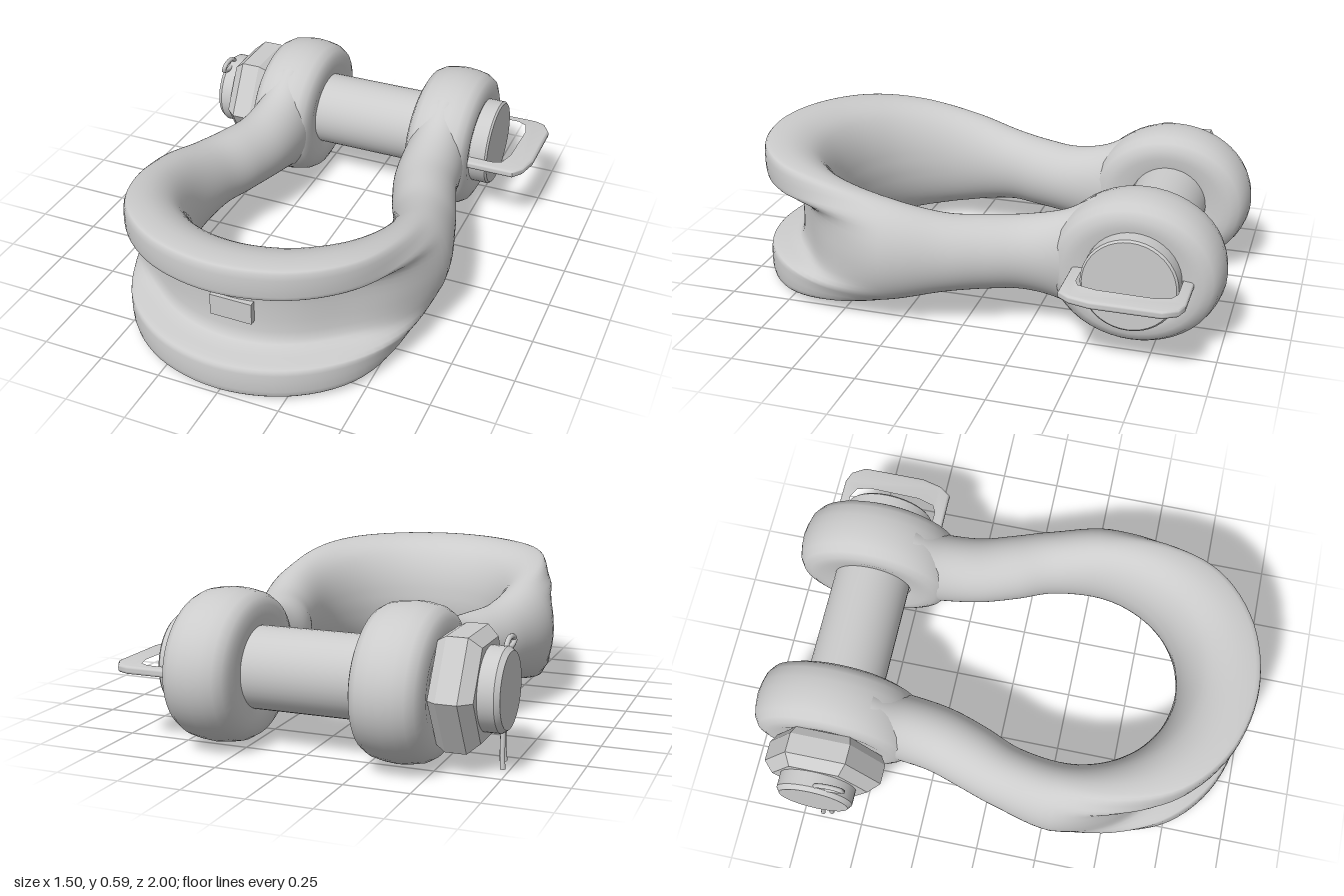
import * as THREE from 'three';
import { toCreasedNormals } from 'three/addons/utils/BufferGeometryUtils.js';

const CX = -0.011, CY = 0.297, PIN_Z = -0.66;
const steel = new THREE.MeshStandardMaterial({ color: 0xcccccc });
const V2 = (p) => new THREE.Vector2(p[0], p[1]);
const V3 = (p) => new THREE.Vector3(p[0], p[1], p[2]);

function add(group, name, geometry, x = 0, y = 0, z = 0) {
  const mesh = new THREE.Mesh(geometry, steel);
  mesh.name = name;
  mesh.position.set(x, y, z);
  group.add(mesh);
  return mesh;
}

// Lathe around the x axis; profile is [radius, x] with x increasing
function turned(profile, segments, crease = 0.6) {
  const g = new THREE.LatheGeometry(profile.map(V2), segments);
  g.rotateZ(-Math.PI / 2);
  return toCreasedNormals(g, crease);
}

// Bow: round legs that swell into a grooved channel section at the front
function bowGeometry() {
  // inner x, inner z, outer x, outer z, half height, groove amount
  const half = [
    [0.245, -0.49, 0.485, -0.49, 0.26, 0],
    [0.235, -0.37, 0.5, -0.37, 0.185, 0],
    [0.255, -0.2, 0.52, -0.24, 0.15, 0],
    [0.305, -0.04, 0.56, -0.11, 0.148, 0],
    [0.365, 0.11, 0.61, 0.05, 0.16, 0],
    [0.392, 0.3, 0.66, 0.29, 0.21, 0],
    [0.36, 0.45, 0.614, 0.555, 0.255, 0.4],
    [0.276, 0.576, 0.477, 0.777, 0.283, 0.9],
    [0.149, 0.66, 0.264, 0.937, 0.293, 1],
    [0, 0.69, 0, 0.995, 0.296, 1],
  ];
  const keys = [...half, ...half.slice(0, -1).reverse().map((k) => [-k[0], k[1], -k[2], ...k.slice(3)])];
  const spline = (a, b, c) => new THREE.CatmullRomCurve3(
    keys.map((k) => V3([k[a], k[b], k[c]])), false, 'catmullrom', 0.5);
  const inner = spline(0, 1, 4), outer = spline(2, 3, 5);

  // Upper half of the channel section, from inside centre to groove centre
  const channel = new THREE.SplineCurve([
    [0, 0], [0.03, 0.3], [0.12, 0.58], [0.27, 0.81], [0.46, 0.94], [0.68, 1], [0.92, 0.99],
    [1, 0.92], [1, 0.62], [0.94, 0.54], [0.66, 0.48], [0.54, 0.36], [0.52, 0],
  ].map(V2));
  const N = 30, S = 108, ring = 2 * N;
  const pos = [], idx = [];
  for (let i = 0; i <= S; i++) {
    const a = inner.getPoint(i / S), b = outer.getPoint(i / S);
    const g = THREE.MathUtils.clamp(b.z, 0, 1);
    for (let j = 0; j < ring; j++) {
      const t = (j <= N ? j : ring - j) / N, side = j <= N ? 1 : -1;
      const c = channel.getPoint(t), w = Math.PI * t;
      const u = THREE.MathUtils.lerp(0.5 - 0.5 * Math.cos(w), c.x, g);
      const v = THREE.MathUtils.lerp(Math.sin(w), c.y, g) * side;
      pos.push(a.x + (b.x - a.x) * u, v * a.z, a.y + (b.y - a.y) * u);
    }
  }
  for (let i = 0; i < S; i++) for (let j = 0; j < ring; j++) {
    const k = (j + 1) % ring;
    const p = i * ring + j, q = i * ring + k, r = p + ring, s = q + ring;
    idx.push(p, r, q, q, r, s);
  }
  const geo = new THREE.BufferGeometry();
  geo.setAttribute('position', new THREE.Float32BufferAttribute(pos, 3));
  geo.setIndex(idx);
  geo.computeVertexNormals();
  return geo;
}

// Flat pull ring with rounded edges, lying in the xz plane
function pullRingGeometry() {
  const outline = (pts) => pts.map(([x, z]) => new THREE.Vector2(x, -z));
  const shape = new THREE.Shape(outline([
    [0.48, -0.885], [0.67, -0.885], [0.71, -0.87], [0.74, -0.82], [0.74, -0.56],
    [0.72, -0.48], [0.69, -0.44], [0.48, -0.44]]));
  shape.holes.push(new THREE.Path(outline([
    [0.49, -0.855], [0.6, -0.855], [0.64, -0.835], [0.655, -0.78], [0.65, -0.56],
    [0.63, -0.49], [0.6, -0.475], [0.49, -0.475]])));
  const g = new THREE.ExtrudeGeometry(shape, {
    depth: 0.01, bevelThickness: 0.011, bevelSize: 0.01, bevelSegments: 3 });
  g.translate(0, 0, -0.005);
  g.rotateX(-Math.PI / 2);
  return toCreasedNormals(g, 0.8);
}

export function createModel() {
  const model = new THREE.Group();
  model.name = 'bowShackle';

  add(model, 'bow', bowGeometry(), CX, CY, 0);

  // Eyes at the ends of the legs, slightly longer than tall
  const eye = turned([
    [0.14, -0.125], [0.2, -0.138], [0.235, -0.135], [0.265, -0.12], [0.283, -0.09], [0.292, -0.045],
    [0.296, 0], [0.292, 0.045], [0.283, 0.09], [0.265, 0.12], [0.235, 0.135], [0.2, 0.138],
    [0.14, 0.125], [0.14, -0.125]], 48, 0.9);
  for (const s of [1, -1]) {
    const m = add(model, s > 0 ? 'leftEye' : 'rightEye', eye, CX + s * 0.366, CY, PIN_Z);
    m.scale.z = 1.15;
  }

  // Cross pin with head on one side and threaded end on the other
  add(model, 'pin', turned([[0.16, -0.52], [0.16, 0.49]], 40), 0, CY, PIN_Z - 0.005);
  add(model, 'pinHead', turned([[0, 0.44], [0.186, 0.44], [0.186, 0.555], [0.178, 0.563], [0, 0.563]], 40),
    0, CY, PIN_Z - 0.005);
  add(model, 'pinEnd', turned([[0, -0.754], [0.142, -0.754], [0.156, -0.735], [0.156, -0.5]], 40),
    0, CY + 0.006, PIN_Z - 0.005);

  // Hexagonal nut with chamfered rims
  add(model, 'nut', turned([[0, -0.675], [0.2, -0.675], [0.243, -0.63], [0.243, -0.55], [0.22, -0.515], [0, -0.515]], 6, 0.4),
    0, CY, PIN_Z);

  add(model, 'pullRing', pullRingGeometry(), 0, CY, 0);

  // Cotter pin: loop above the pin end, two legs out below
  const cotter = new THREE.CatmullRomCurve3([
    [-0.732, 0.01, -0.67], [-0.728, 0.06, -0.665], [-0.727, 0.2, -0.655], [-0.727, 0.43, -0.655],
    [-0.727, 0.472, -0.62], [-0.727, 0.475, -0.56], [-0.727, 0.455, -0.53], [-0.727, 0.44, -0.57],
    [-0.727, 0.43, -0.63], [-0.727, 0.2, -0.64], [-0.724, 0.09, -0.635], [-0.728, 0.03, -0.63],
  ].map(V3));
  add(model, 'cotterPin', new THREE.TubeGeometry(cotter, 64, 0.01, 8), 0, 0, 0);

  // Small raised pad in the middle of the groove
  add(model, 'groovePad', new THREE.BoxGeometry(0.17, 0.09, 0.05), 0, CY, 0.84);

  return model;
}
